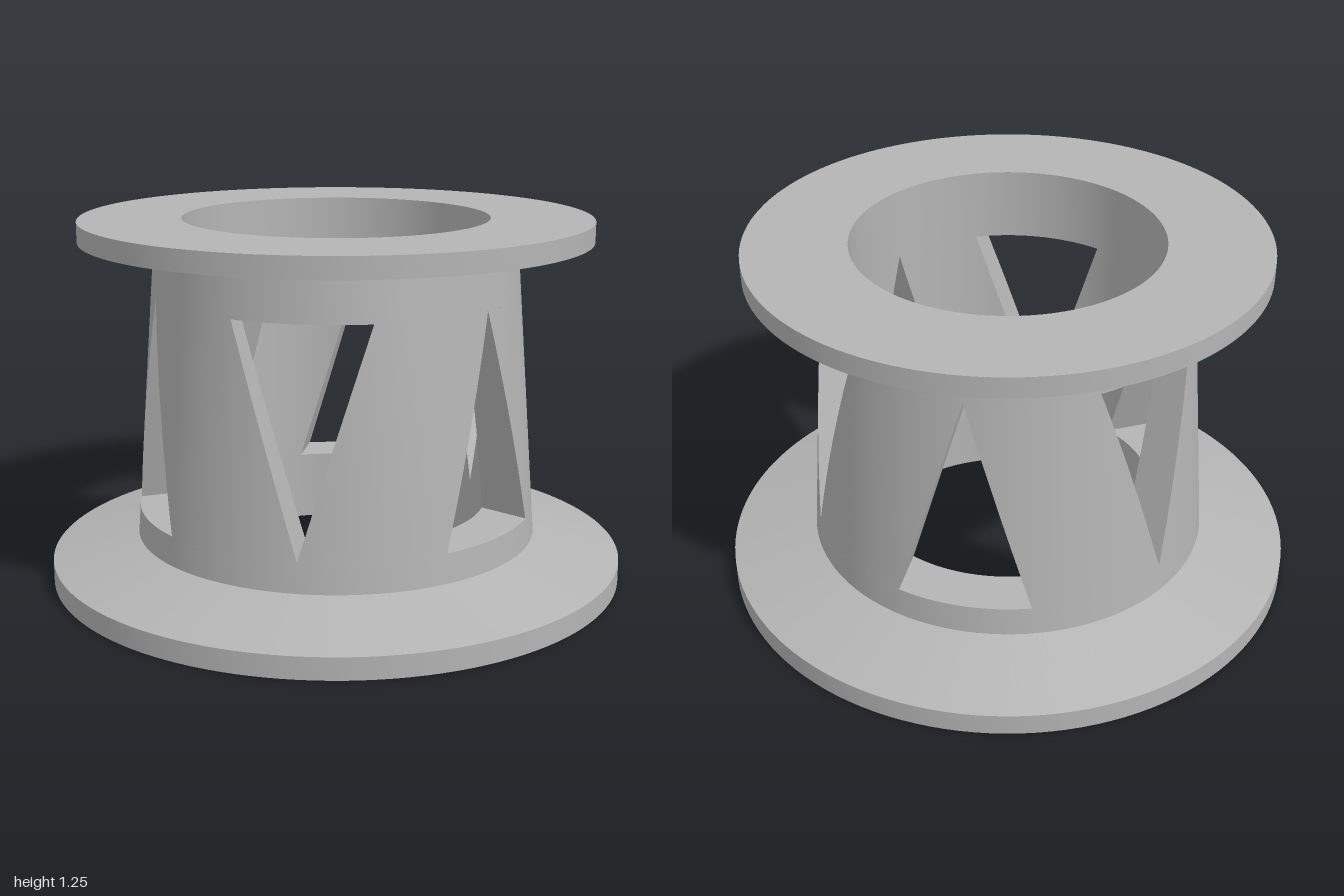
import * as THREE from 'three';
import { mergeGeometries, toCreasedNormals } from 'three/addons/utils/BufferGeometryUtils.js';

const BORE = 0.525;                 // inner radius, straight through
const SILL = 0.25, LINTEL = 1.0;    // window bottom and top
const HALF = 0.225;                 // half width of each triangular window
const SEGMENTS = 128;

// Outer radius of the tapering barrel
const barrelRadius = y => 0.7 - (y - 0.15) * 0.08 / 1.03;

const lathe = profile => toCreasedNormals(
  new THREE.LatheGeometry(profile.map(p => new THREE.Vector2(...p)), SEGMENTS), 0.2);

// Plane grid whose vertices are moved to fn(u, v)
function surface(nu, nv, fn) {
  const geo = new THREE.PlaneGeometry(1, 1, nu, nv);
  const pos = geo.attributes.position, uv = geo.attributes.uv;
  for (let i = 0; i < pos.count; i++) pos.setXYZ(i, ...fn(uv.getX(i), uv.getY(i)));
  geo.computeVertexNormals();
  return geo;
}

// Wall between window i and window i + 1; windows alternate point-up and point-down
function pierGeometry(i) {
  const halfWidth = (k, y) => {
    const t = (y - SILL) / (LINTEL - SILL);
    return HALF * (k % 2 === 0 ? 1 - t : t);
  };
  // s = 0..1 across the pier, r = radius; window sides are parallel planes
  const point = (s, r, y) => {
    const a = i * Math.PI / 3 + Math.asin(halfWidth(i, y) / r);
    const b = (i + 1) * Math.PI / 3 - Math.asin(halfWidth(i + 1, y) / r);
    const angle = a + (b - a) * s;
    return [r * Math.cos(angle), y, r * Math.sin(angle)];
  };
  const height = v => SILL + (LINTEL - SILL) * v;
  const radius = (t, y) => BORE + (barrelRadius(y) - BORE) * t;
  return mergeGeometries([
    surface(16, 16, (u, v) => point(1 - u, radius(1, height(v)), height(v))), // outside
    surface(16, 16, (u, v) => point(u, BORE, height(v))),                     // bore
    surface(1, 16, (u, v) => point(0, radius(1 - u, height(v)), height(v))),  // window cheeks
    surface(1, 16, (u, v) => point(1, radius(u, height(v)), height(v))),
  ]);
}

export function createModel() {
  const group = new THREE.Group();
  const grey = new THREE.MeshStandardMaterial({ color: 0xb4b4b4 });
  grey.name = 'grey';

  const add = (name, geometry) => {
    const mesh = new THREE.Mesh(geometry, grey);
    mesh.name = name;
    group.add(mesh);
  };

  // Wide base with sloping top, grooved underside and the solid foot of the barrel
  add('baseFlange', lathe([
    [BORE, 0], [0.725, 0], [0.725, 0.035], [0.8, 0.035], [0.8, 0],
    [1, 0], [1, 0.075], [0.7, 0.15], [barrelRadius(SILL), SILL], [BORE, SILL], [BORE, 0],
  ]));

  // Solid head of the barrel and the flat top flange
  add('topFlange', lathe([
    [BORE, LINTEL], [barrelRadius(LINTEL), LINTEL], [0.62, 1.18],
    [0.875, 1.18], [0.875, 1.25], [BORE, 1.25], [BORE, LINTEL],
  ]));

  // Six leaning piers leave the triangular windows between them
  for (let i = 0; i < 6; i++) add('barrelPier' + (i + 1), pierGeometry(i));

  return group;
}
